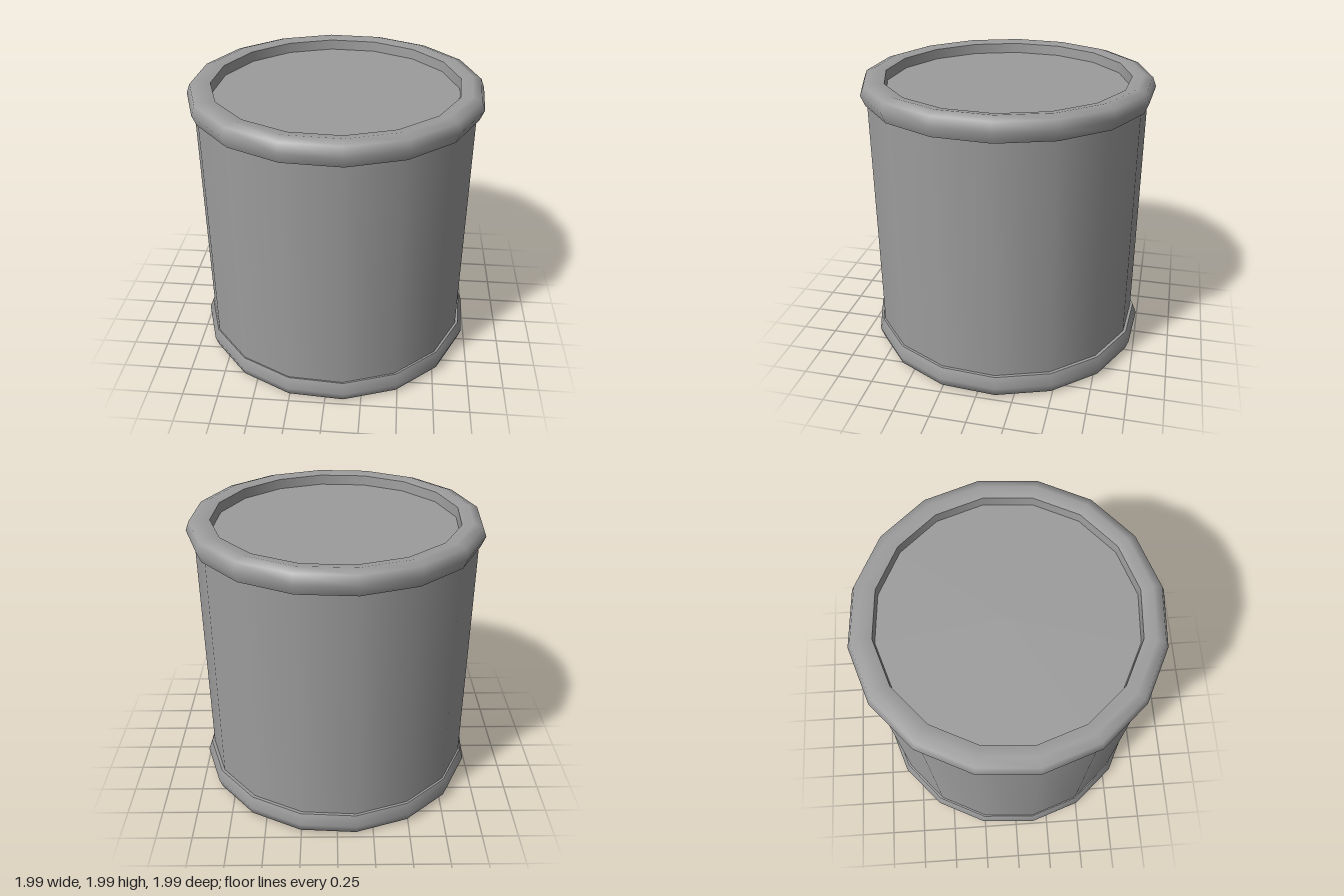
import * as THREE from 'three';

const SIDES = 16;
const TURN = THREE.MathUtils.degToRad(7.5);

export function createModel() {
  const group = new THREE.Group();
  const material = new THREE.MeshStandardMaterial({ color: 0x9c9c9c });

  // Turn a profile of [radius, height] points around the y axis
  const lathe = (name, profile) => {
    const points = profile.map(([r, y]) => new THREE.Vector2(r, y));
    const mesh = new THREE.Mesh(new THREE.LatheGeometry(points, SIDES, TURN), material);
    mesh.name = name;
    group.add(mesh);
    return mesh;
  };

  // Straight drum wall, a hair off centre
  lathe('body', [[0.96, 0.1], [0.96, 1.9]]).position.set(-0.005, 0, 0.005);

  // Rounded top rim, its inner wall and the sunken lid
  lathe('topRimUnderside', [[0.94, 1.845], [0.975, 1.845]]);
  lathe('topRim', [[0.975, 1.845], [1.004, 1.916], [0.98, 1.978], [0.92, 1.998], [0.842, 1.982]]);
  lathe('topRimInnerWall', [[0.842, 1.982], [0.836, 1.912]]);
  lathe('lid', [[0.836, 1.912], [0, 1.912]]);

  // Rounded bottom rim, its ledge and the flat base
  lathe('bottomRim', [[0.945, 0.008], [0.982, 0.028], [1.004, 0.095], [0.975, 0.17]]);
  lathe('bottomRimLedge', [[0.975, 0.17], [0.94, 0.17]]);
  lathe('base', [[0, 0.008], [0.945, 0.008]]);

  return group;
}
